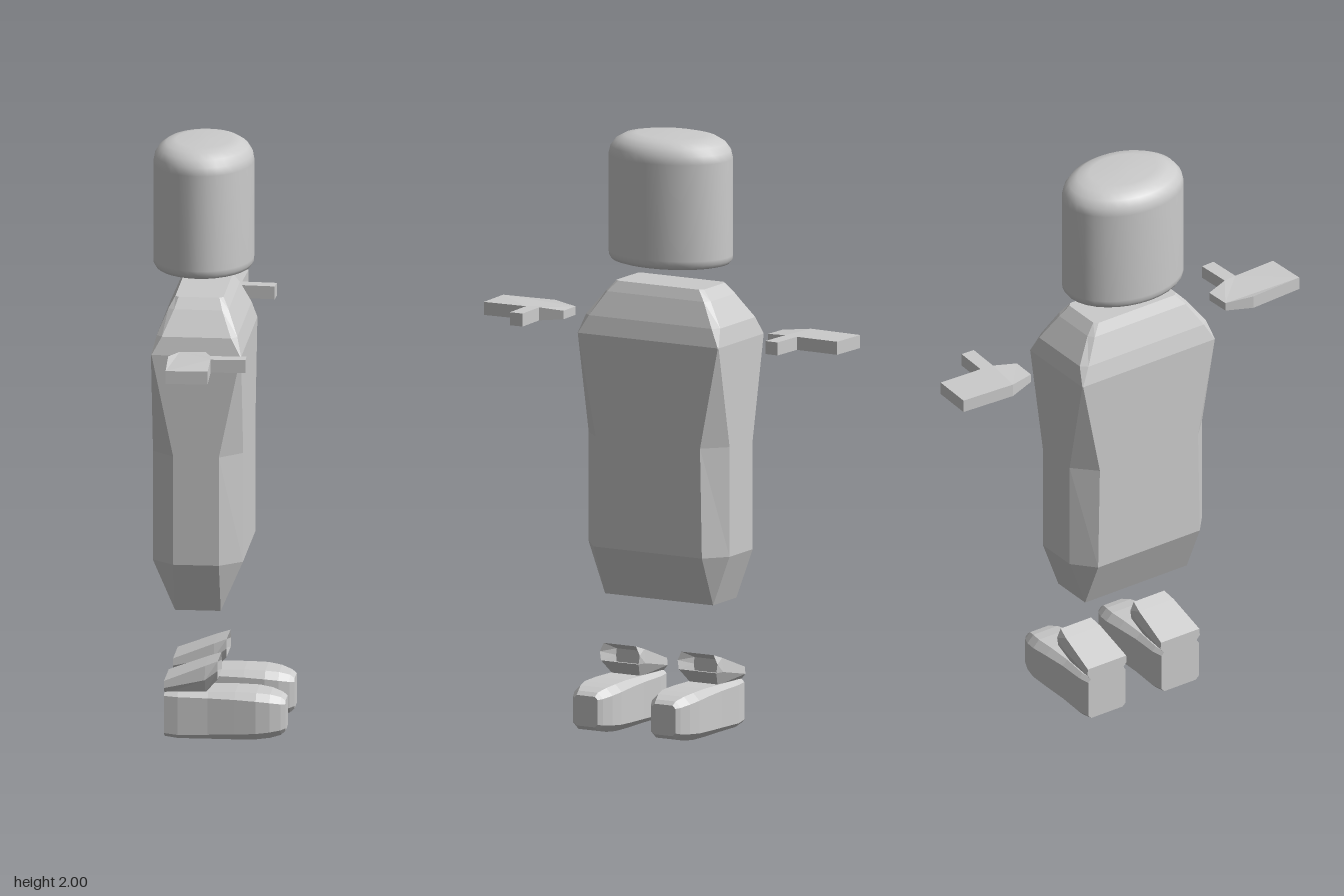
import * as THREE from 'three';

const flat = new THREE.MeshStandardMaterial({ color: 0xcccccc, flatShading: true });
const smooth = new THREE.MeshStandardMaterial({ color: 0xcccccc });

// Closed loft through rings of [x, y, z] points, capped at both ends.
function loft(rings) {
  const tris = [];
  const n = rings[0].length;
  for (let r = 0; r < rings.length - 1; r++) {
    for (let i = 0; i < n; i++) {
      const j = (i + 1) % n;
      const a = rings[r][i], b = rings[r][j], c = rings[r + 1][j], d = rings[r + 1][i];
      tris.push([a, b, c], [a, c, d]);
    }
  }
  const first = rings[0], last = rings[rings.length - 1];
  for (let i = 1; i < n - 1; i++) {
    tris.push([first[0], first[i + 1], first[i]], [last[0], last[i], last[i + 1]]);
  }
  // Turn every face outwards if the enclosed volume is negative.
  let volume = 0;
  for (const t of tris) {
    const [a, b, c] = t.map((p) => new THREE.Vector3(...p));
    volume += a.dot(b.cross(c));
  }
  if (volume < 0) tris.forEach((t) => t.reverse());
  const geometry = new THREE.BufferGeometry();
  geometry.setAttribute('position', new THREE.Float32BufferAttribute(tris.flat(2), 3));
  geometry.computeVertexNormals();
  return geometry;
}

// Rectangle with cut corners: outer half sizes a, b and inner half sizes c, d.
const octagon = (a, b, c, d) => [
  [a, d], [c, b], [-c, b], [-a, d], [-a, -d], [-c, -b], [c, -b], [a, -d],
];

function part(name, geometry, material = flat) {
  const mesh = new THREE.Mesh(geometry, material);
  mesh.name = name;
  return mesh;
}

// Oval head, softly rounded above and tightly below.
function makeHead() {
  const profile = [
    [0, 1.568], [0.145, 1.568], [0.159, 1.573], [0.166, 1.585], [0.167, 1.6],
    [0.167, 1.925], [0.162, 1.952], [0.148, 1.975], [0.125, 1.991], [0.092, 1.999], [0, 2],
  ].map(([r, y]) => new THREE.Vector2(r, y));
  const head = part('head', new THREE.LatheGeometry(profile, 32), smooth);
  head.scale.z = 1.305;
  head.position.set(-0.066, 0, 0.007);
  return head;
}

// Faceted torso: height, outer half sizes, inner half sizes.
function makeTorso() {
  const levels = [
    [0.44, 0.076, 0.207, 0.076, 0.207],
    [0.61, 0.15, 0.27, 0.076, 0.207],
    [0.98, 0.15, 0.27, 0.076, 0.2],
    [1.325, 0.15, 0.27, 0.148, 0.268],
    [1.385, 0.134, 0.257, 0.115, 0.235],
    [1.465, 0.1, 0.2, 0.08, 0.185],
    [1.5, 0.08, 0.168, 0.068, 0.155],
  ];
  const rings = levels.map(([y, ...s]) => octagon(...s).map(([x, z]) => [x, y, z]));
  const torso = part('torso', loft(rings));
  torso.position.set(-0.065, 0, 0.007);
  return torso;
}

// Flat mitten with a thumb, thinning towards the wrist.
function makeHand(name, side) {
  const outline = [
    [-0.125, 0.684], [0.014, 0.677], [0.008, 0.519], [0.124, 0.513], [0.122, 0.465],
    [0.003, 0.472], [-0.021, 0.392], [-0.107, 0.396], [-0.136, 0.49],
  ].map(([x, z]) => new THREE.Vector2(x, -side * z));
  const geometry = new THREE.ExtrudeGeometry(new THREE.Shape(outline), {
    depth: 0.044, bevelEnabled: false,
  });
  geometry.rotateX(-Math.PI / 2).translate(0, -0.022, 0);
  const p = geometry.attributes.position;
  for (let i = 0; i < p.count; i++) {
    if (Math.abs(p.getZ(i)) < 0.44) p.setY(i, p.getY(i) * 0.65);
  }
  geometry.computeVertexNormals();
  const hand = part(name, geometry);
  hand.position.y = 1.355;
  return hand;
}

function makeFoot(name, z) {
  const foot = new THREE.Group();
  foot.name = name;
  // Shoe sections from heel to toe: x, half width, bottom, top, corner cut.
  const sections = [
    [-0.175, 0.076, 0.012, 0.163, 0.012],
    [-0.13, 0.081, 0.006, 0.163, 0.014],
    [-0.03, 0.076, 0.004, 0.164, 0.018],
    [0.06, 0.08, 0.004, 0.166, 0.022],
    [0.13, 0.082, 0.006, 0.164, 0.024],
    [0.175, 0.073, 0.01, 0.158, 0.024],
    [0.21, 0.057, 0.018, 0.147, 0.02],
    [0.225, 0.045, 0.032, 0.135, 0.01],
  ];
  const shoe = sections.map(([x, w, y0, y1, c]) => {
    const h = (y1 - y0) / 2;
    return octagon(w, h, w - c, h - c).map(([a, b]) => [x, y0 + h + b, a]);
  });
  foot.add(part('shoe', loft(shoe)));

  // Sloping ankle cuff, dished at its front: x, bottom, top, lower and upper half width.
  const cuff = [
    [-0.175, 0.155, 0.203, 0.06, 0.078],
    [-0.04, 0.16, 0.255, 0.052, 0.07],
    [0.002, 0.21, 0.27, 0.072, 0.062],
    [-0.05, 0.2, 0.245, 0.042, 0.042],
  ].map(([x, y0, y1, w0, w1]) => {
    const mid = (y0 + y1) / 2;
    const wide = Math.min(0.08, Math.max(w0, w1) * 1.06);
    return [[x, y0, w0], [x, mid, wide], [x, y1, w1], [x, y1, -w1], [x, mid, -wide], [x, y0, -w0]];
  });
  foot.add(part('ankleCuff', loft(cuff)));
  foot.position.z = z;
  return foot;
}

export function createModel() {
  const model = new THREE.Group();
  model.name = 'figure';
  model.add(
    makeHead(),
    makeTorso(),
    makeHand('frontHand', 1),
    makeHand('backHand', -1),
    makeFoot('frontFoot', 0.163),
    makeFoot('backFoot', -0.135),
  );
  return model;
}
